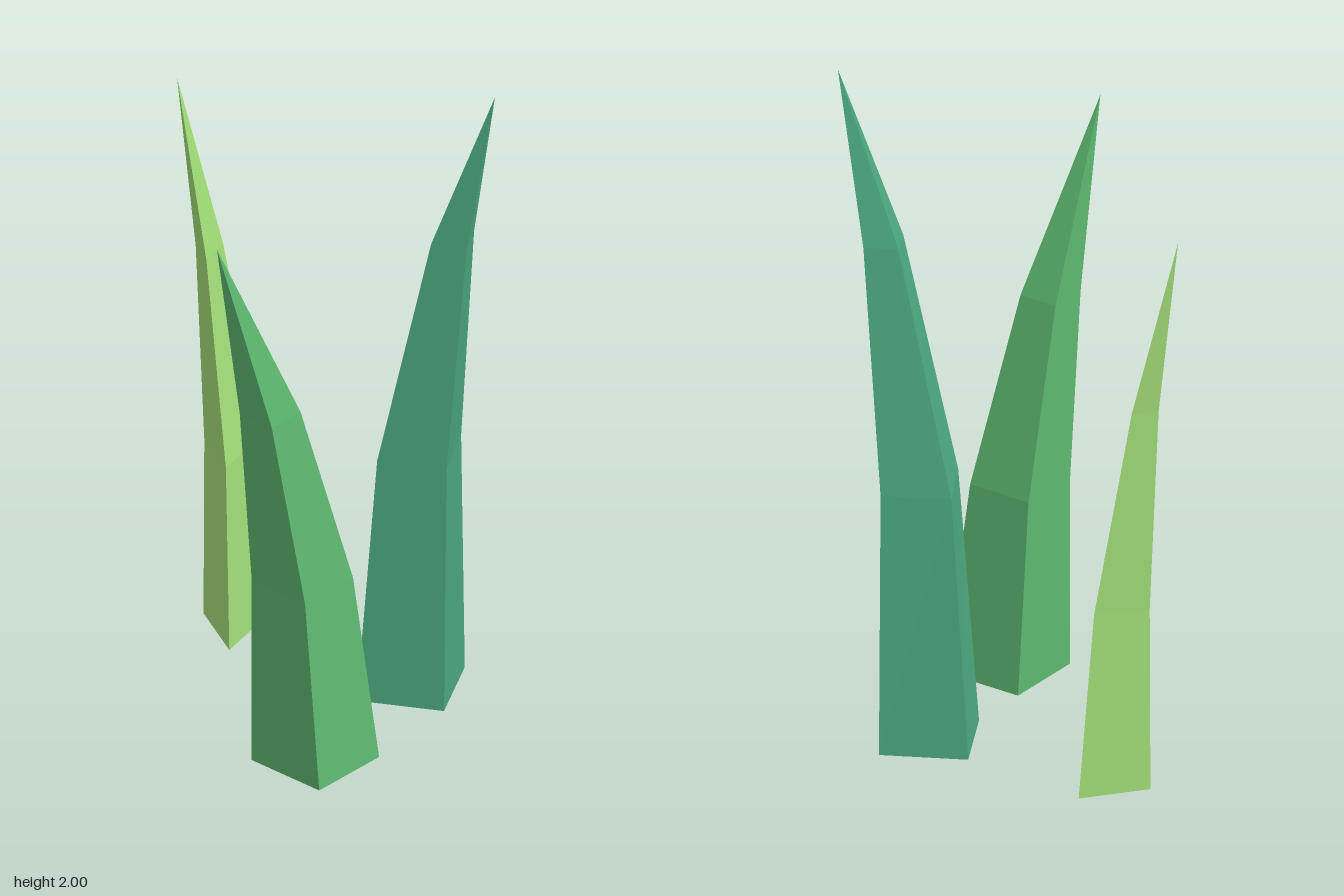
import * as THREE from 'three';

// Lofts rings of [x, z] corners (counterclockwise from above) up to a point; base stays open.
function blade(name, material, rings, tip) {
  const pos = [];
  const n = rings[0].corners.length;
  const at = (r, i) => {
    const [x, z] = rings[r].corners[i % n];
    return [x, rings[r].y, z];
  };
  for (let i = 0; i < n; i++) {
    for (let r = 0; r < rings.length - 1; r++) {
      const a = at(r, i), b = at(r, i + 1), c = at(r + 1, i + 1), d = at(r + 1, i);
      pos.push(...a, ...b, ...c, ...a, ...c, ...d);
    }
    const top = rings.length - 1;
    pos.push(...at(top, i), ...at(top, i + 1), ...tip);
  }
  const geometry = new THREE.BufferGeometry();
  geometry.setAttribute('position', new THREE.Float32BufferAttribute(pos, 3));
  geometry.computeVertexNormals();
  const mesh = new THREE.Mesh(geometry, material);
  mesh.name = name;
  return mesh;
}

function leafMaterial(name, color) {
  const m = new THREE.MeshStandardMaterial({ color, flatShading: true, side: THREE.DoubleSide });
  m.name = name;
  return m;
}

export function createModel() {
  const group = new THREE.Group();
  group.name = 'grassTuft';

  // Square blade bending towards -x
  const square = (x, z, w, d) => [[x, z], [x, z + d], [x + w, z + d], [x + w, z]];
  group.add(blade('sideBlade', leafMaterial('midGreen', 0x5db870), [
    { y: 0, corners: square(-0.32, 0.187, 0.25, 0.253) },
    { y: 0.58, corners: square(-0.32, 0.187, 0.2, 0.2) },
    { y: 1.14, corners: square(-0.37, 0.187, 0.12, 0.12) },
  ], [-0.465, 1.71, 0.187]));

  // Tall square blade, turned and bending forwards
  group.add(blade('tallBlade', leafMaterial('tealGreen', 0x4caa80), [
    { y: 0, corners: [[0.12, 0.185], [0.24, 0.405], [0.46, 0.285], [0.34, 0.065]] },
    { y: 0.78, corners: [[0.15, 0.235], [0.245, 0.41], [0.416, 0.311], [0.32, 0.137]] },
    { y: 1.5, corners: [[0.225, 0.37], [0.274, 0.46], [0.36, 0.41], [0.311, 0.325]] },
  ], [0.31, 2, 0.533]));

  // Triangular blade bending backwards
  group.add(blade('backBlade', leafMaterial('lightGreen', 0xa2de78), [
    { y: 0, corners: [[0.092, -0.267], [0.36, -0.328], [0.195, -0.456]] },
    { y: 0.56, corners: [[0.12, -0.305], [0.32, -0.352], [0.197, -0.455]] },
    { y: 1.18, corners: [[0.15, -0.405], [0.248, -0.43], [0.189, -0.48]] },
  ], [0.17, 1.71, -0.533]));

  return group;
}
